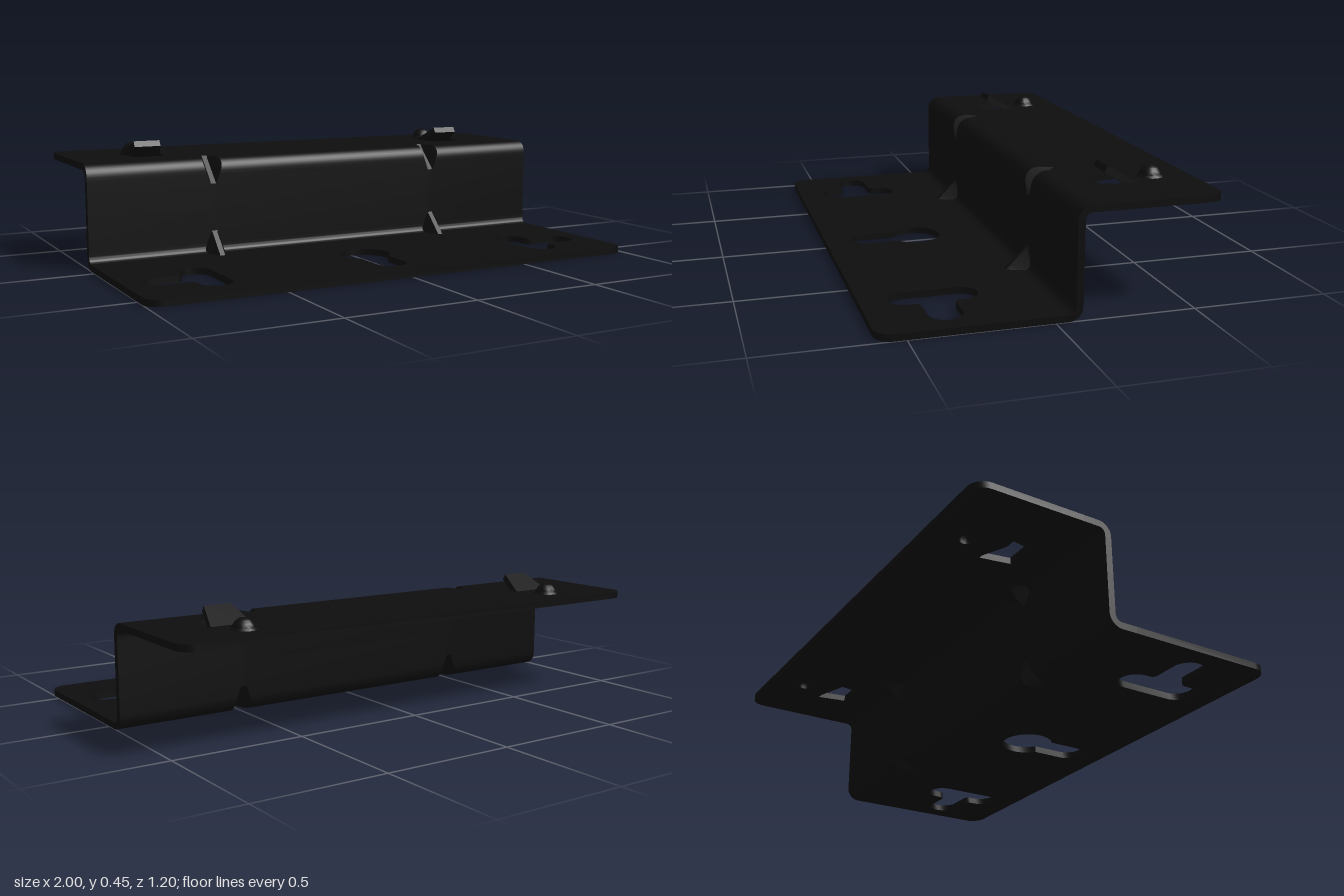
import * as THREE from 'three';
import { toCreasedNormals } from 'three/addons/utils/BufferGeometryUtils.js';

const T = 0.025;      // sheet thickness
const H = 0.395;      // overall step height
const JOIN = 0.015;   // z where the lower plate meets its bend
const SHIFT = -0.165; // the upper half is the lower half turned over about this z
const PI = Math.PI;

const creased = (g) => toCreasedNormals(g, 0.6);

function arc(cx, cy, r, a0, a1, n = 14) {
  return Array.from({ length: n + 1 }, (_, i) => {
    const a = a0 + (a1 - a0) * i / n;
    return new THREE.Vector2(cx + r * Math.cos(a), cy + r * Math.sin(a));
  });
}
const pt = (x, y) => new THREE.Vector2(x, y);
const mirrored = (pts, s) => new THREE.Path(pts.map((p) => pt(p.x * s, p.y)));

// Flat sheet from an outline drawn with y = -z
function sheet(points, holes = []) {
  const shape = new THREE.Shape(points);
  shape.holes.push(...holes);
  const g = new THREE.ExtrudeGeometry(shape, { depth: T, bevelEnabled: false });
  return creased(g.rotateX(-PI / 2));
}

// Bend with pressed stiffening ribs, lofted across x
function bendGeometry() {
  const inner = [], outer = [];
  const add = (iz, iy, oz, oy) => { inner.push([iz, iy]); outer.push([oz, oy]); };
  for (const z of [JOIN, 0.005, -0.015, -0.03]) add(z, T, z, 0);
  for (let i = 0; i <= 8; i++) {
    const a = -PI / 2 - (PI / 2) * i / 8, c = Math.cos(a), s = Math.sin(a);
    add(-0.045 + T * c, 0.05 + T * s, -0.045 + 2 * T * c, 0.05 + 2 * T * s);
  }
  for (const y of [0.065, 0.08, 0.1, 0.11, H / 2]) add(-0.07, y, -0.095, y);

  const columns = [{ x: -1 }];
  for (const c of [-0.5, 0.5]) {
    columns.push({ x: c, side: -1 }, { x: c, side: -1, rib: 1 }, { x: c, side: 1, rib: 1 }, { x: c, side: 1 });
  }
  columns.push({ x: 1 });

  // Ribs push the corner diagonally onto a 45 degree line
  const place = (col, [z, y], line, deepest) => {
    const k = Math.max(0, (line - z - y) / 2);
    const width = col.rib ? 0.01 : 0.012 + 0.026 * Math.min(1, k / deepest);
    const push = col.rib ? k : 0;
    return [col.x + (col.side || 0) * width, y + push, z + push];
  };
  const pos = [];
  const quad = (a, b, c, d) => pos.push(...a, ...b, ...c, ...a, ...c, ...d);
  const grid = columns.map((col) => ({
    a: inner.map((p) => place(col, p, 0.04, 0.035)),
    b: outer.map((p) => place(col, p, 0.005, 0.035)),
  }));
  for (let i = 0; i < inner.length - 1; i++) {
    for (let j = 0; j < grid.length - 1; j++) {
      const l = grid[j], r = grid[j + 1];
      quad(l.a[i], r.a[i], r.a[i + 1], l.a[i + 1]);
      quad(r.b[i], l.b[i], l.b[i + 1], r.b[i + 1]);
    }
    const l = grid[0], r = grid[grid.length - 1];
    quad(r.a[i], r.b[i], r.b[i + 1], r.a[i + 1]);
    quad(l.b[i], l.a[i], l.a[i + 1], l.b[i + 1]);
  }
  const g = new THREE.BufferGeometry();
  g.setAttribute('position', new THREE.Float32BufferAttribute(pos, 3));
  return creased(g);
}

export function createModel() {
  const group = new THREE.Group();
  const black = new THREE.MeshStandardMaterial({ color: 0x0d0d0d });
  black.name = 'black steel';
  const add = (name, geometry, x = 0, y = 0, z = 0) => {
    const m = new THREE.Mesh(geometry, black);
    m.name = name;
    m.position.set(x, y, z);
    group.add(m);
    return m;
  };

  // Lower plate with keyhole and two T-shaped slots
  const a = Math.asin(0.8);
  const keyhole = [...arc(0, -0.24, 0.1, -a, PI + a, 28), ...arc(0, -0.44, 0.06, PI, 2 * PI)];
  const tSlot = [
    ...arc(0.7, -0.24, 0.06, 0, PI),
    ...arc(0.7, -0.44, 0.06, PI, 2 * PI),
    ...arc(0.78, -0.42, 0.02, PI, PI / 2, 4),
    ...arc(0.87, -0.34, 0.06, -PI / 2, PI / 2),
    ...arc(0.78, -0.26, 0.02, 1.5 * PI, PI, 4),
  ];
  add('lowerPlate', sheet([
    pt(1, -JOIN), pt(-1, -JOIN),
    ...arc(-0.94, -0.54, 0.06, PI, 1.5 * PI, 8),
    ...arc(0.94, -0.54, 0.06, 1.5 * PI, 2 * PI, 8),
  ], [mirrored(keyhole, 1), mirrored(tSlot, 1), mirrored(tSlot, -1)]));

  // Upper plate with tab windows and dimple holes
  const window = [pt(0.62, 0.36), pt(0.78, 0.36), pt(0.76, 0.243), pt(0.64, 0.243)];
  const dimple = arc(0.7, 0.457, 0.03, 0, 2 * PI, 20).slice(0, -1);
  const upperEdge = JOIN - SHIFT;
  add('upperPlate', sheet([
    pt(-1, upperEdge), pt(1, upperEdge),
    ...arc(0.94, 0.54, 0.06, 0, PI / 2, 8),
    ...arc(-0.94, 0.54, 0.06, PI / 2, PI, 8),
  ], [1, -1].flatMap((s) => [mirrored(window, s), mirrored(dimple, s)])), 0, H - T, 0);

  // Two ribbed bends meeting halfway up the web
  const bend = bendGeometry();
  add('lowerBend', bend);
  add('upperBend', bend, 0, H, SHIFT).rotation.x = PI;

  // Raised tabs and hollow domes
  const tab = sheet([pt(-0.08, 0), pt(-0.053, -0.115), pt(0.053, -0.115), pt(0.08, 0)]);
  const dome = creased(new THREE.LatheGeometry([
    pt(0.048, T), pt(0.043, T + 0.006),
    ...arc(0, T, 0.041, 0.2, PI / 2, 8),
    ...arc(0, 0, 0.03, PI / 2, 0, 8).map((p) => pt(p.x, p.y * 1.5)),
  ].map((p) => pt(Math.max(0, p.x), p.y)), 24));
  for (const [side, x] of [['left', 0.7], ['right', -0.7]]) {
    add(side + 'Tab', tab, x, H - 0.02, -0.36).rotation.x = -PI / 6;
    add(side + 'Dome', dome, x, H - T, -0.457);
  }
  return group;
}
